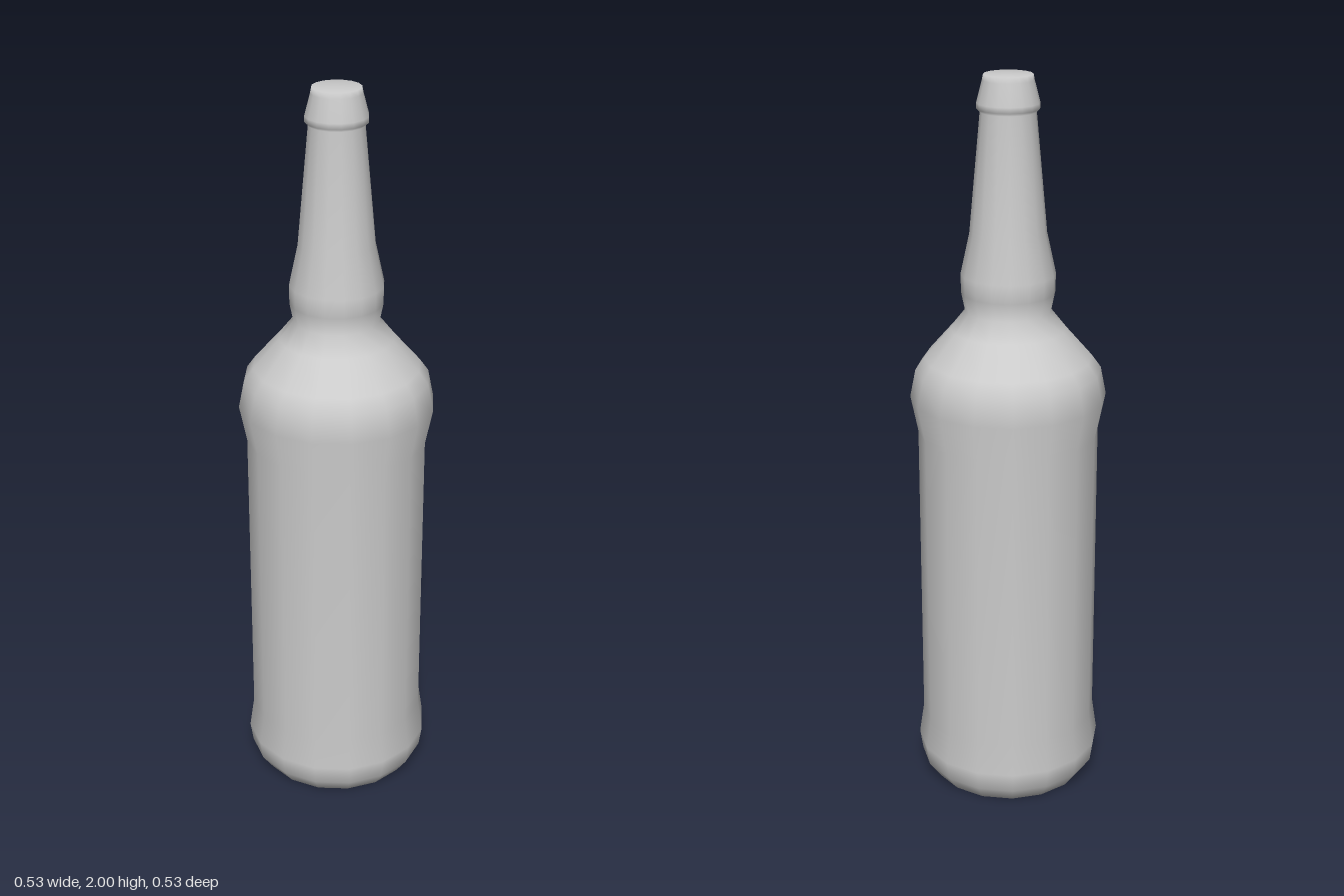
import * as THREE from 'three';

const SIDES = 16;
const material = new THREE.MeshStandardMaterial({ color: 0xcccccc });

// Revolve a [radius, height] profile, listed from bottom to top.
function turned(name, profile) {
  const points = profile.map(([r, y]) => new THREE.Vector2(r, y));
  const mesh = new THREE.Mesh(new THREE.LatheGeometry(points, SIDES), material);
  mesh.name = name;
  return mesh;
}

export function createModel() {
  const bottle = new THREE.Group();
  bottle.name = 'bottle';

  // Base, recessed label panel, shoulder, bulged neck and lip in one smooth skin
  bottle.add(turned('bottleBody', [
    [0, 0], [0.218, 0],
    [0.25, 0.045], [0.258, 0.1], [0.245, 0.19],
    [0.245, 1.04],
    [0.265, 1.14], [0.25, 1.215], [0.225, 1.25],
    [0.155, 1.33], [0.115, 1.38],
    [0.125, 1.43], [0.126, 1.48], [0.102, 1.59],
    [0.073, 1.905],
    [0.082, 1.913], [0.082, 1.928], [0.067, 1.985], [0.064, 2],
    [0, 2],
  ]));

  return bottle;
}
